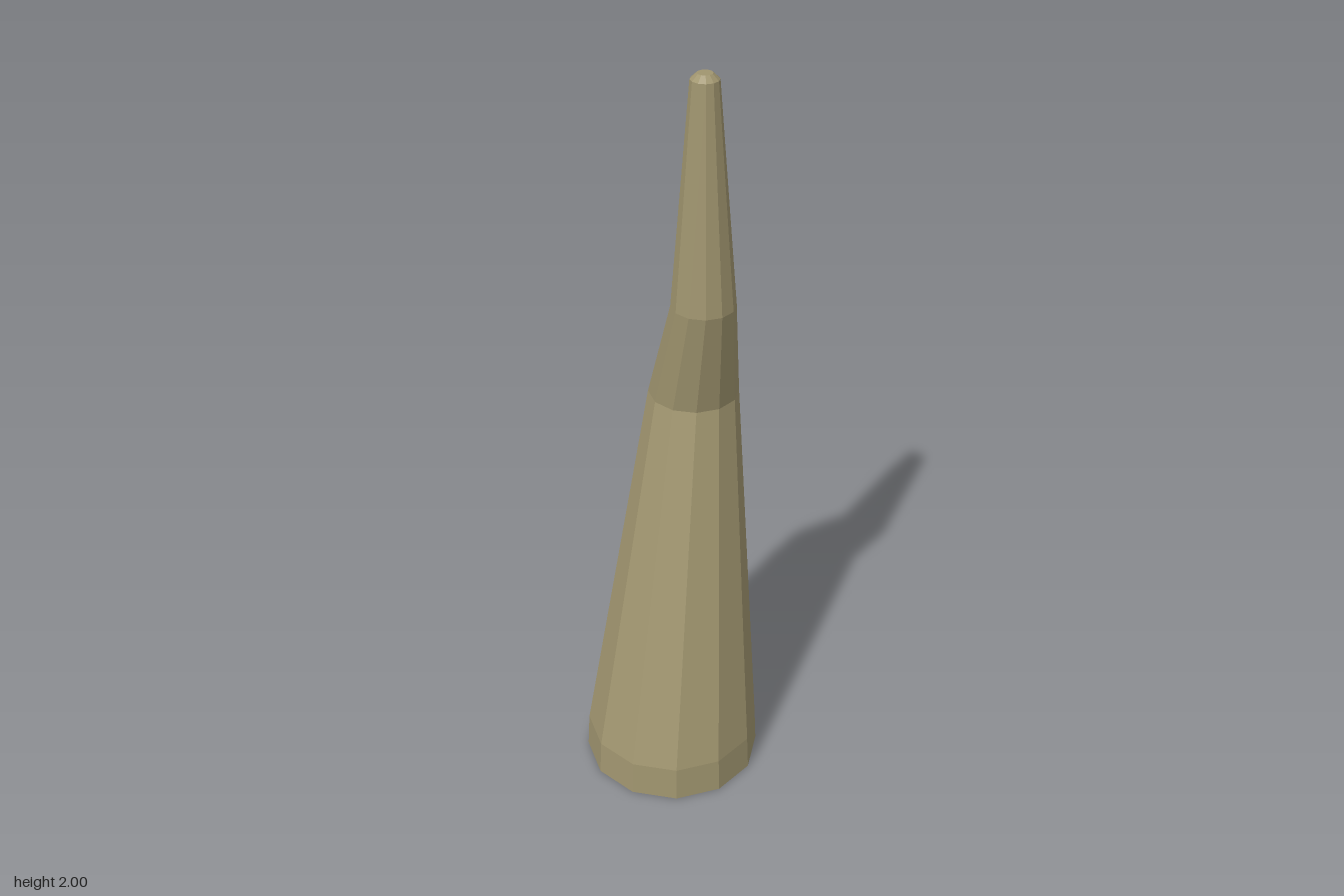
import * as THREE from 'three';

// Rings from top to base: [height, radius, centre x, centre z]
const RINGS = [
  [2.0, 0.02, 0.09, 0],
  [1.985, 0.036, 0.09, 0],
  [1.4, 0.083, 0.091, 0.003],
  [1.1, 0.12, 0.124, -0.088],
  [0.1, 0.238, 0, 0],
  [0, 0.243, 0, 0],
];

export function createModel() {
  const group = new THREE.Group();
  group.name = 'crookedSpire';

  const stone = new THREE.MeshStandardMaterial({ color: 0xa0956f, flatShading: true });
  stone.name = 'khaki stone';

  // Twelve-sided column, each row moved to its own bent and tapered ring
  const rows = RINGS.length - 1;
  const column = new THREE.CylinderGeometry(1, 1, rows, 12, rows);
  const p = column.attributes.position;
  for (let i = 0; i < p.count; i++) {
    const [y, r, cx, cz] = RINGS[Math.round(rows / 2 - p.getY(i))];
    p.setXYZ(i, cx + r * p.getX(i), y, cz + r * p.getZ(i));
  }

  // One normal per face for a faceted look
  const faceted = column.toNonIndexed();
  faceted.computeVertexNormals();

  const spire = new THREE.Mesh(faceted, stone);
  spire.name = 'bentSpire';
  group.add(spire);
  return group;
}
